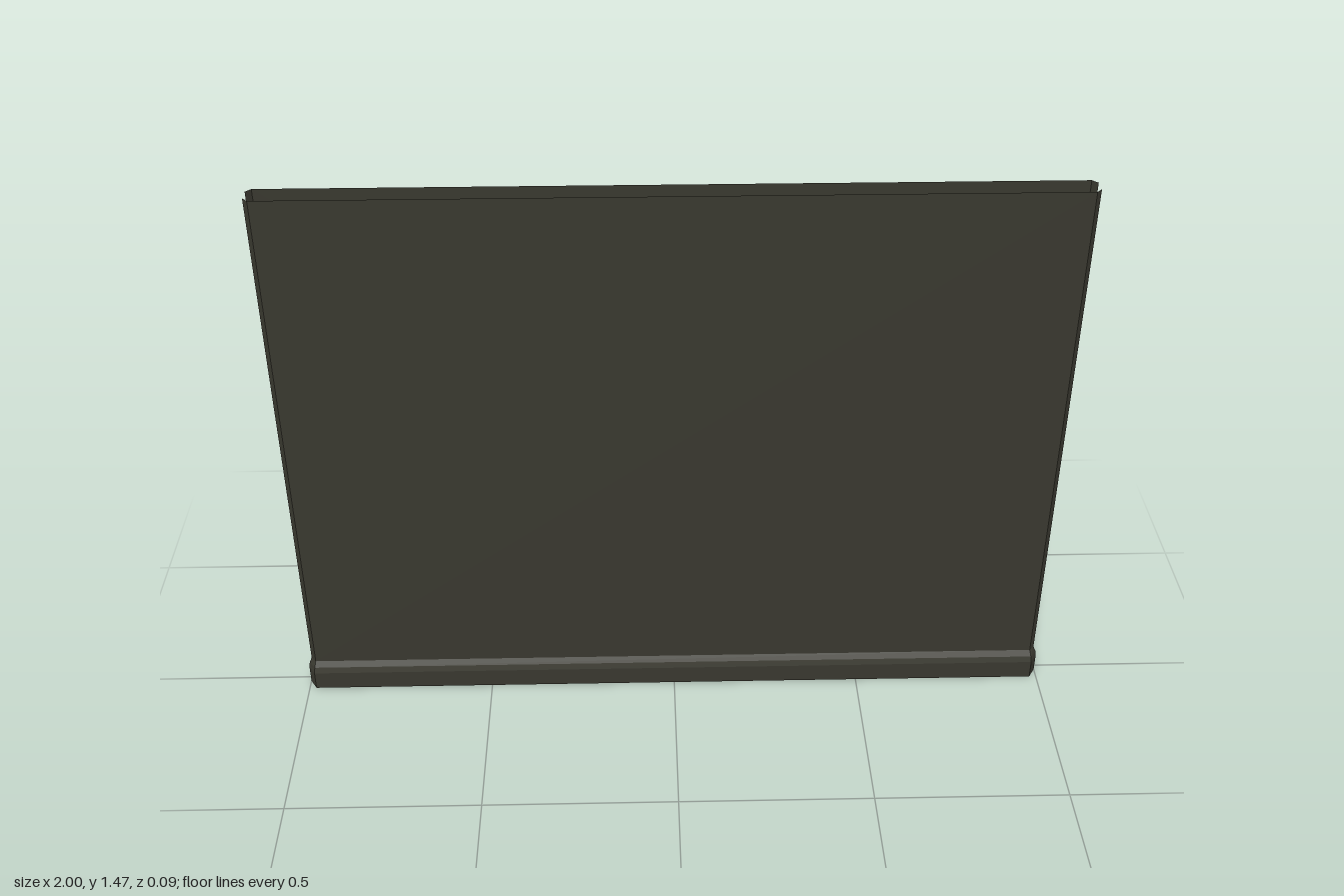
import * as THREE from 'three';

const wallPaint = new THREE.MeshStandardMaterial({ color: 0x39382f, side: THREE.DoubleSide });
wallPaint.name = 'darkOlive';

const INNER_Z = 0.017; // depth where the angled ends stop

// Open sheet lofted through rows [y, face z, face half width, end half width]
function sheet(name, rows) {
  const pos = [];
  const outline = ([y, z, face, end]) => [
    [-end, y, INNER_Z], [-face, y, z], [face, y, z], [end, y, INNER_Z],
  ];
  for (let r = 0; r < rows.length - 1; r++) {
    const low = outline(rows[r]), high = outline(rows[r + 1]);
    for (let i = 0; i < 3; i++) {
      const [a, b, c, d] = [low[i], low[i + 1], high[i + 1], high[i]];
      pos.push(...a, ...b, ...c, ...a, ...c, ...d);
    }
  }
  const geo = new THREE.BufferGeometry();
  geo.setAttribute('position', new THREE.Float32BufferAttribute(pos, 3));
  geo.computeVertexNormals(); // unshared corners keep the faces flat
  const mesh = new THREE.Mesh(geo, wallPaint);
  mesh.name = name;
  return mesh;
}

// One side of the wall: tall panel above a moulded skirting
function wallSide(name) {
  const side = new THREE.Group();
  side.name = name;
  side.add(
    sheet('panel', [
      [0.083, 0.031, 0.977, 0.99],
      [1.467, 0.031, 0.977, 0.99],
    ]),
    sheet('skirting', [
      [0, 0.046, 0.982, 1],
      [0.052, 0.046, 0.982, 1],
      [0.068, 0.041, 0.98, 0.997],
      [0.083, 0.031, 0.977, 0.99],
    ]),
  );
  return side;
}

export function createModel() {
  const wall = new THREE.Group();
  wall.name = 'wall';
  const front = wallSide('frontSide');
  const back = wallSide('backSide');
  back.rotation.y = Math.PI;
  wall.add(front, back);
  return wall;
}
